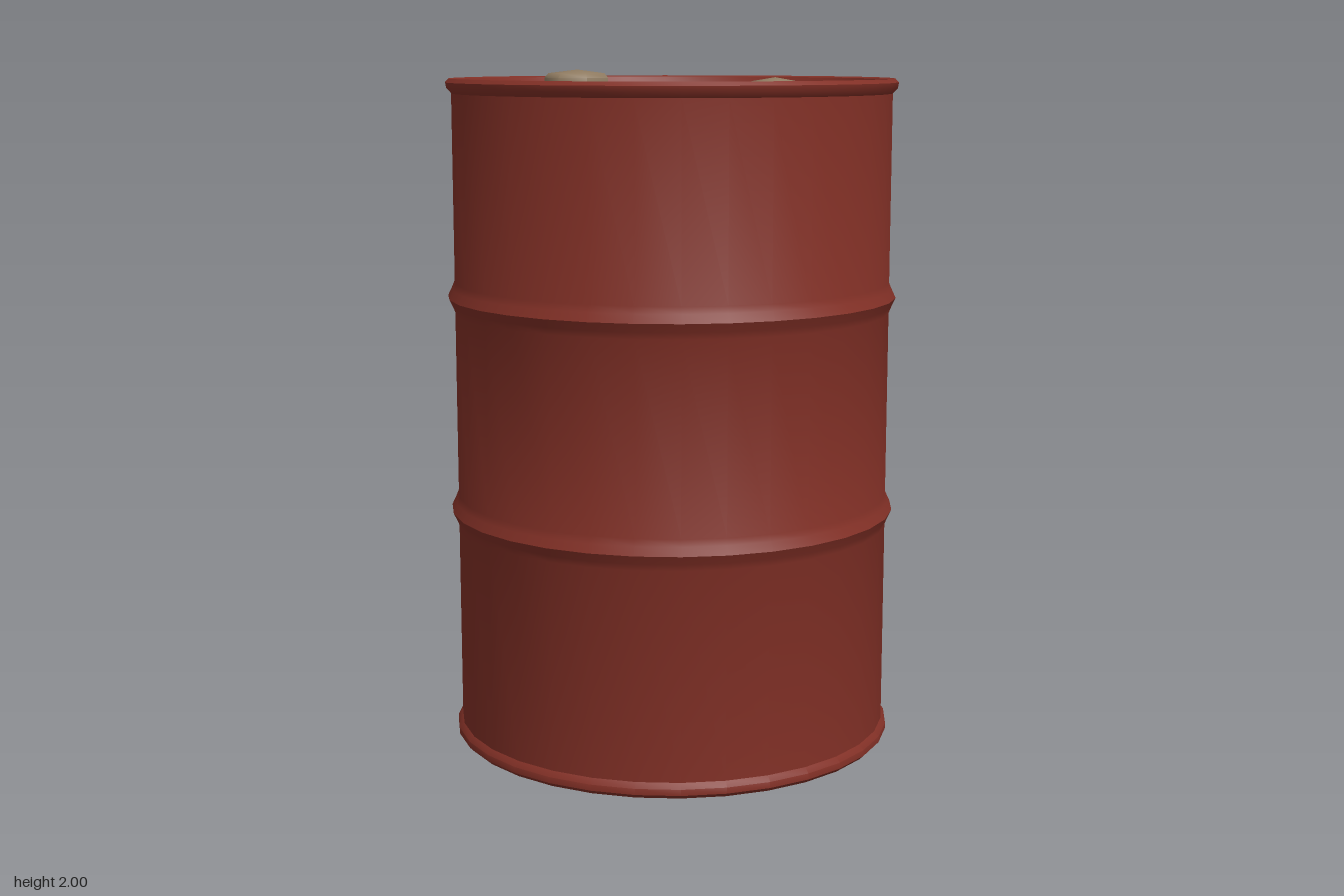
import * as THREE from 'three';
import { toCreasedNormals } from 'three/addons/utils/BufferGeometryUtils.js';

const paint = new THREE.MeshStandardMaterial({ color: 0x823026 });
paint.name = 'red paint';
const metal = new THREE.MeshStandardMaterial({ color: 0x8f7b61 });
metal.name = 'dull metal';

// Surface of revolution with sharp edges kept
function turned(name, profile, sides, material, crease) {
  const points = profile.map(([r, y]) => new THREE.Vector2(r, y));
  const geometry = toCreasedNormals(new THREE.LatheGeometry(points, sides), crease);
  const mesh = new THREE.Mesh(geometry, material);
  mesh.name = name;
  return mesh;
}

// Raised rolling hoop around the wall
const hoop = (y) => [[0.648, y - 0.045], [0.656, y - 0.025], [0.668, y], [0.656, y + 0.025], [0.648, y + 0.045]];

export function createModel() {
  const group = new THREE.Group();
  group.name = 'drum';

  // Recessed base with its rolled lower chime
  group.add(turned('base', [
    [0, 0.035], [0.615, 0.035], [0.635, 0.006], [0.65, 0], [0.662, 0.012], [0.662, 0.03], [0.648, 0.045],
  ], 32, paint, 0.75));

  // Wall with two hoops
  group.add(turned('wall', [
    [0.648, 0.045], ...hoop(0.7), ...hoop(1.34), [0.648, 1.935],
  ], 32, paint, 0.75));

  // Rolled upper chime and recessed lid
  group.add(turned('lid', [
    [0.648, 1.935], [0.662, 1.95], [0.665, 1.967], [0.655, 1.978], [0.642, 1.974], [0.628, 1.945], [0, 1.945],
  ], 32, paint, 0.75));

  // Two screw plugs: a flange under a slightly domed hexagonal cap
  for (const [name, x, z, r, top, turn] of [
    ['largePlug', -0.28, -0.325, 0.102, 2.0, 0.3],
    ['smallPlug', 0.275, 0.325, 0.074, 1.985, 0.1],
  ]) {
    const plug = turned(name, [
      [r, 1.943], [r, top - 0.025], [r * 0.88, top - 0.011], [0, top],
    ], 7, metal, 0.95);
    plug.position.set(x, 0, z);
    plug.rotation.y = turn;
    group.add(plug);
  }
  return group;
}
